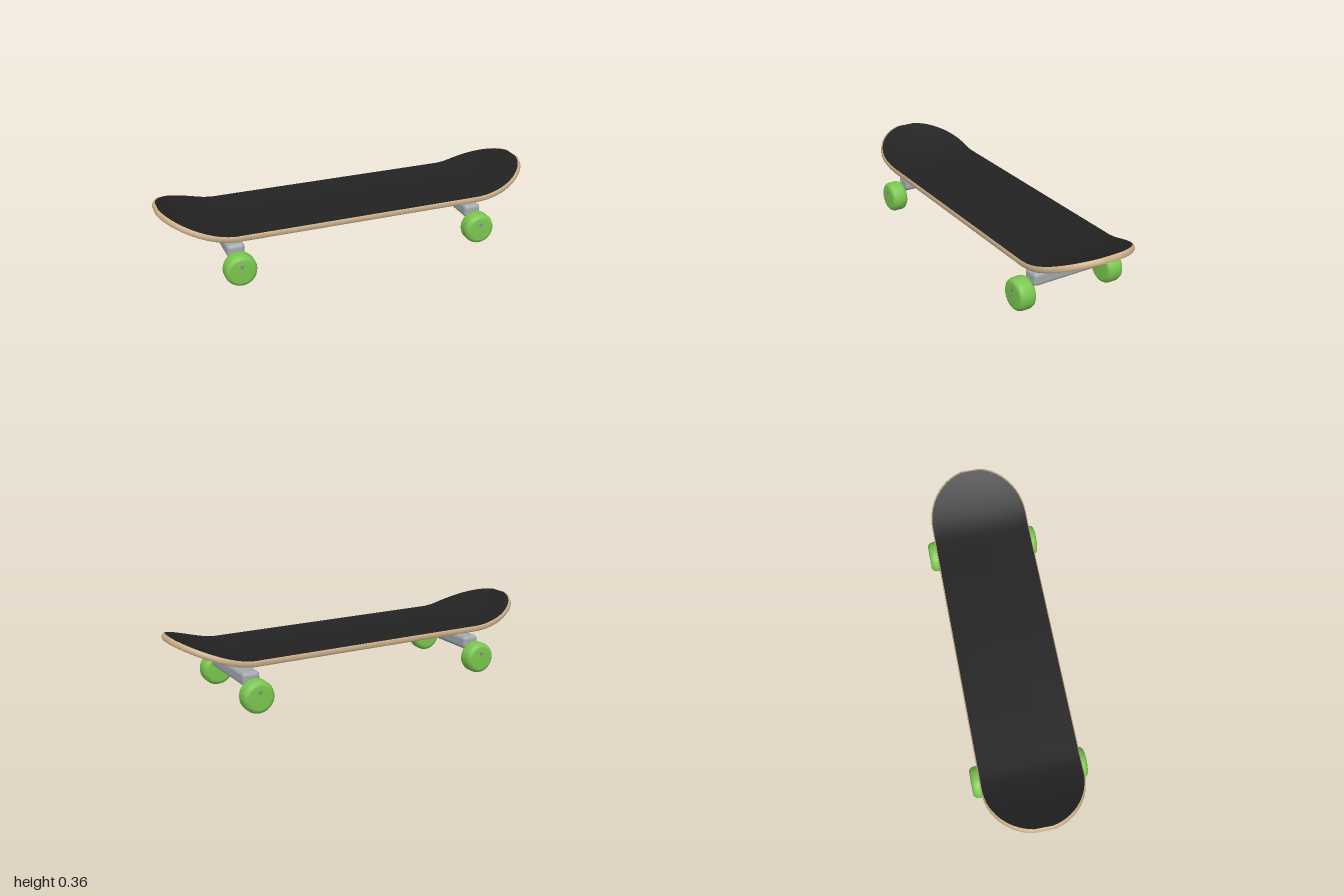
import * as THREE from 'three';
import { RoundedBoxGeometry } from 'three/addons/geometries/RoundedBoxGeometry.js';

const mat = (name, color, side = THREE.FrontSide) => {
  const m = new THREE.MeshStandardMaterial({ color, side });
  m.name = name;
  return m;
};

const HALF_WIDTH = 0.26, END_START = 0.735, KICK_START = 0.66, COLS = 12;

// Lengthwise stations [x, half width]: straight middle, rounded ends
const half = [0, 0.2, 0.4, 0.6, 0.66, 0.7].map(x => [x, HALF_WIDTH]);
for (let i = 0; i <= 14; i++) {
  const a = (i / 14) * Math.asin(0.98);
  half.push([END_START + 0.26 * Math.sin(a), HALF_WIDTH * Math.cos(a)]);
}
const stations = [...half.slice(1).reverse().map(([x, w]) => [-x, w]), ...half];
const ROWS = stations.length - 1;

// Point of the deck: row i, column j, pulled in from the outline, set below the top
function deckPoint(i, j, inset, depth) {
  const [sx, w] = stations[i];
  const x = sx * (1 - inset / 0.99);
  const z = (j / COLS * 2 - 1) * (w - inset);
  const t = Math.max(0, (Math.abs(x) - KICK_START) / 0.33);
  const y = 0.244 + 0.12 * t ** 1.5 + 0.012 * (z / HALF_WIDTH) ** 2;
  const tilt = Math.atan(1.5 * 0.12 / 0.33 * Math.sqrt(t));
  return [x + Math.sign(x) * depth * Math.sin(tilt), y - depth * Math.cos(tilt), z];
}

function build(points, index) {
  const g = new THREE.BufferGeometry();
  g.setAttribute('position', new THREE.Float32BufferAttribute(points.flat(), 3));
  g.setIndex(index);
  g.computeVertexNormals();
  return g;
}

function deckSheet(inset, depth, faceDown) {
  const points = [], index = [];
  for (let i = 0; i <= ROWS; i++)
    for (let j = 0; j <= COLS; j++) points.push(deckPoint(i, j, inset, depth));
  for (let i = 0; i < ROWS; i++)
    for (let j = 0; j < COLS; j++) {
      const a = i * (COLS + 1) + j, b = a + 1, d = a + COLS + 1, c = d + 1;
      if (faceDown) index.push(a, c, b, a, d, c);
      else index.push(a, b, c, a, c, d);
    }
  return build(points, index);
}

function deckRim(layers) {
  const ring = [], points = [], index = [];
  for (let i = 0; i < ROWS; i++) ring.push([i, COLS]);
  for (let j = COLS; j > 0; j--) ring.push([ROWS, j]);
  for (let i = ROWS; i > 0; i--) ring.push([i, 0]);
  for (let j = 0; j < COLS; j++) ring.push([0, j]);
  const n = ring.length;
  for (const [inset, depth] of layers)
    for (const [i, j] of ring) points.push(deckPoint(i, j, inset, depth));
  for (let l = 0; l < layers.length - 1; l++)
    for (let k = 0; k < n; k++) {
      const a = l * n + k, d = l * n + (k + 1) % n, b = a + n, c = d + n;
      index.push(a, b, c, a, c, d);
    }
  return build(points, index);
}

export function createModel() {
  const grip = mat('grip black', 0x222222);
  const wood = mat('wood', 0xcdb08a);
  const green = mat('green', 0x7ac74f);
  const metal = mat('metal grey', 0xa3a9ae);
  const steel = mat('axle grey', 0x858a92);
  const yellow = mat('bushing yellow', 0xd9a92f);

  const model = new THREE.Group();
  model.name = 'skateboard';
  const add = (parent, name, geometry, material, x = 0, y = 0, z = 0) => {
    const mesh = new THREE.Mesh(geometry, material);
    mesh.name = name;
    mesh.position.set(x, y, z);
    parent.add(mesh);
    return mesh;
  };

  // Deck: grip on top, wooden edge, painted underside
  add(model, 'gripTape', deckSheet(0.005, 0, false), grip);
  add(model, 'deckEdge', deckRim([[0.005, 0], [0, 0.006], [0, 0.022], [0.006, 0.03]]), wood);
  add(model, 'deckUnderside', deckSheet(0.006, 0.03, true), green);

  // Wheel profile, rounded on both shoulders
  const side = [[0, 0.045], [0.058, 0.045], [0.068, 0.042], [0.077, 0.034], [0.082, 0.02]];
  const profile = [...side.map(([r, h]) => [r, -h]), ...side.slice().reverse()];
  const wheelGeo = new THREE.LatheGeometry(profile.map(p => new THREE.Vector2(...p)), 32);
  wheelGeo.rotateX(Math.PI / 2);
  const axleGeo = new THREE.CylinderGeometry(0.01, 0.01, 0.604, 12).rotateX(Math.PI / 2);
  const hangerGeo = new RoundedBoxGeometry(0.09, 0.07, 0.41, 4, 0.02);

  // Trucks, one under each end
  for (const s of [-1, 1]) {
    const truck = new THREE.Group();
    truck.name = s > 0 ? 'leftTruck' : 'rightTruck';
    truck.position.x = s * 0.65;
    model.add(truck);
    add(truck, 'basePlate', new THREE.BoxGeometry(0.2, 0.014, 0.16), metal, 0, 0.224);
    add(truck, 'kingpin', new THREE.CylinderGeometry(0.02, 0.02, 0.04, 16), metal, 0, 0.203);
    add(truck, 'bushing', new THREE.CylinderGeometry(0.033, 0.033, 0.018, 20), yellow, 0, 0.192);
    add(truck, 'hanger', hangerGeo, metal, 0, 0.15);
    add(truck, 'axle', axleGeo, steel, 0, 0.11);
    for (const z of [-0.255, 0.255]) add(truck, 'wheel', wheelGeo, green, 0, 0.082, z);
  }
  return model;
}
